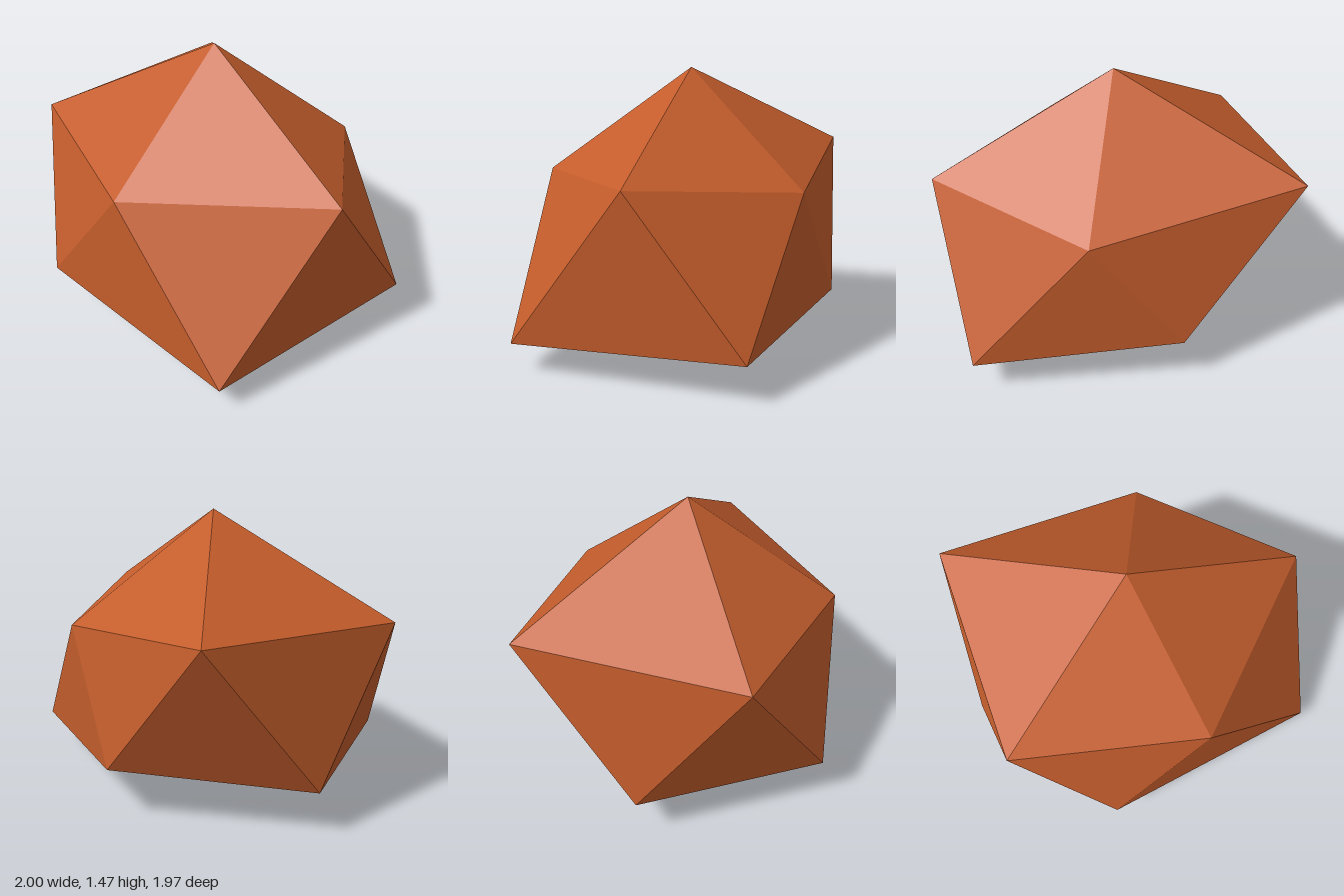
import * as THREE from 'three';

// Three flat stone colours
const makeStone = (name, color) => {
  const material = new THREE.MeshStandardMaterial({ color });
  material.name = name;
  material.flatShading = true;
  return material;
};

// Mesh of separate triangles; unshared corners keep every facet flat
function makeFacets(name, corners, material) {
  const geometry = new THREE.BufferGeometry();
  geometry.setAttribute('position', new THREE.Float32BufferAttribute(corners.flat(), 3));
  geometry.computeVertexNormals();
  const mesh = new THREE.Mesh(geometry, material);
  mesh.name = name;
  return mesh;
}

// Faceted boulder: a skewed icosahedron made of two poles and two staggered five-point rings
export function createModel() {
  const top = [-0.04, 1.47, -0.02];
  const bottom = [-0.04, 0, -0.02];
  // Both rings run the same way round; each lower point sits between upper points i - 1 and i
  const upper = [
    [0.75, 0.97, 0.495], [-0.3, 0.92, 0.7], [-1, 0.97, -0.02], [-0.385, 1.03, -0.983], [0.58, 0.89, -0.43],
  ];
  const lower = [
    [1, 0.2, -0.02], [0.32, 0.15, 0.983], [-0.79, 0.24, 0.475], [-0.79, 0.24, -0.515], [0.22, 0.275, -0.745],
  ];

  // Cap and two-triangle band in the body colour; underside dark, its two back facets redder
  const body = [], underside = [], backUnderside = [];
  for (let i = 0; i < 5; i++) {
    const j = (i + 1) % 5;
    body.push(
      top, upper[j], upper[i],
      upper[i], upper[j], lower[j],
      upper[i], lower[j], lower[i],
    );
    (i < 3 ? underside : backUnderside).push(bottom, lower[i], lower[j]);
  }

  const group = new THREE.Group();
  group.name = 'rock';
  group.add(
    makeFacets('body', body, makeStone('orange brown stone', 0xc45d2c)),
    makeFacets('underside', underside, makeStone('dark brown stone', 0x5a2a0c)),
    makeFacets('backUnderside', backUnderside, makeStone('dark red stone', 0x843626)),
  );
  return group;
}
